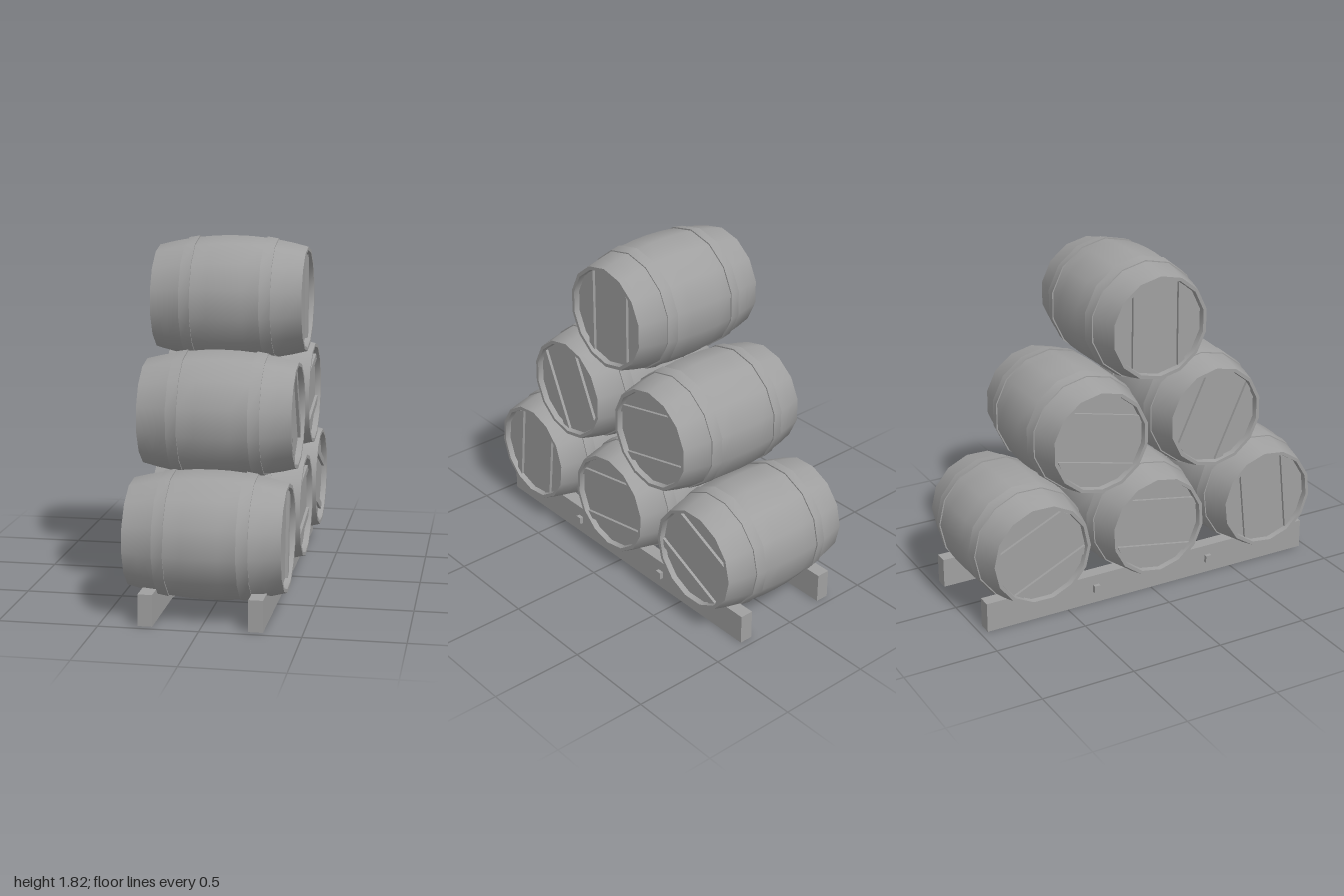
import * as THREE from 'three';
import { toCreasedNormals } from 'three/addons/utils/BufferGeometryUtils.js';

const SIDES = 14, HALF = 0.39, HEAD_X = 0.36;
const grey = new THREE.MeshStandardMaterial({ color: 0xa0a0a0 });

// bulging stave radius at distance x from the middle
const staveRadius = (x) => 0.326 - 0.054 * (x / HALF) ** 2;

// lathed shell: bulge, two raised hoops and a thin rim, laid along x
function shellGeometry() {
  const half = [
    [0, 0], [0.09, 0], [0.178, 0], [0.178, 0.007], [0.235, 0.006], [0.235, 0], [0.31, 0], [HALF, 0],
  ].map(([x, up]) => [staveRadius(x) + up, x]);
  half.push([0.254, HALF], [0.25, HEAD_X - 0.005]);
  const lower = half.slice(1).reverse().map(([r, x]) => [r, -x]);
  const profile = [...lower, ...half].map(([r, x]) => new THREE.Vector2(r, x));
  const geo = new THREE.LatheGeometry(profile, SIDES);
  geo.rotateZ(-Math.PI / 2);
  geo.rotateX(Math.PI / 2);
  return toCreasedNormals(geo, 0.6);
}

// flat round head, facing +x
function headGeometry() {
  const geo = new THREE.CircleGeometry(0.252, SIDES, Math.PI / 2);
  return geo.rotateY(Math.PI / 2);
}

// batten on the head, its ends cut to follow the rim
function battenGeometry() {
  const shape = new THREE.Shape([
    [0.11, -0.22], [0.15, -0.193], [0.15, 0.193], [0.11, 0.22],
  ].map(([x, y]) => new THREE.Vector2(x, y)));
  const geo = new THREE.ExtrudeGeometry(shape, { depth: 0.015, bevelEnabled: false });
  return geo.rotateY(Math.PI / 2);
}

export function createModel() {
  const model = new THREE.Group();
  model.name = 'barrelStack';

  const add = (parent, name, geo, x = 0, y = 0, z = 0) => {
    const mesh = new THREE.Mesh(geo, grey);
    mesh.name = name;
    mesh.position.set(x, y, z);
    parent.add(mesh);
    return mesh;
  };

  // barrels: height, depth and roll in degrees
  const shell = shellGeometry(), head = headGeometry(), batten = battenGeometry();
  const barrels = [
    [0.397, 0.681, -6], [0.395, 0, -80], [0.397, -0.676, 65],
    [0.945, 0.34, 25], [0.943, -0.337, -77],
    [1.495, 0, 0],
  ];
  barrels.forEach(([y, z, roll], i) => {
    const barrel = new THREE.Group();
    barrel.name = `barrel${i + 1}`;
    barrel.position.set(0, y, z);
    barrel.rotation.x = THREE.MathUtils.degToRad(roll);
    add(barrel, 'stavesAndHoops', shell);
    for (const side of ['left', 'right']) {
      const end = new THREE.Group();
      end.name = `${side}End`;
      end.rotation.y = side === 'left' ? 0 : Math.PI;
      add(end, 'head', head, HEAD_X);
      add(end, 'frontBatten', batten, HEAD_X);
      add(end, 'backBatten', batten, HEAD_X).rotation.x = Math.PI;
      barrel.add(end);
    }
    model.add(barrel);
  });

  // rack: two long rails joined by two thin crossbars
  const rail = new THREE.BoxGeometry(0.072, 0.16, 1.925);
  add(model, 'leftRail', rail, 0.272, 0.08, 0.002);
  add(model, 'rightRail', rail, -0.272, 0.08, 0.002);
  const bar = new THREE.BoxGeometry(0.656, 0.04, 0.033);
  add(model, 'frontCrossbar', bar, 0, 0.085, 0.353);
  add(model, 'backCrossbar', bar, 0, 0.085, -0.333);

  return model;
}
